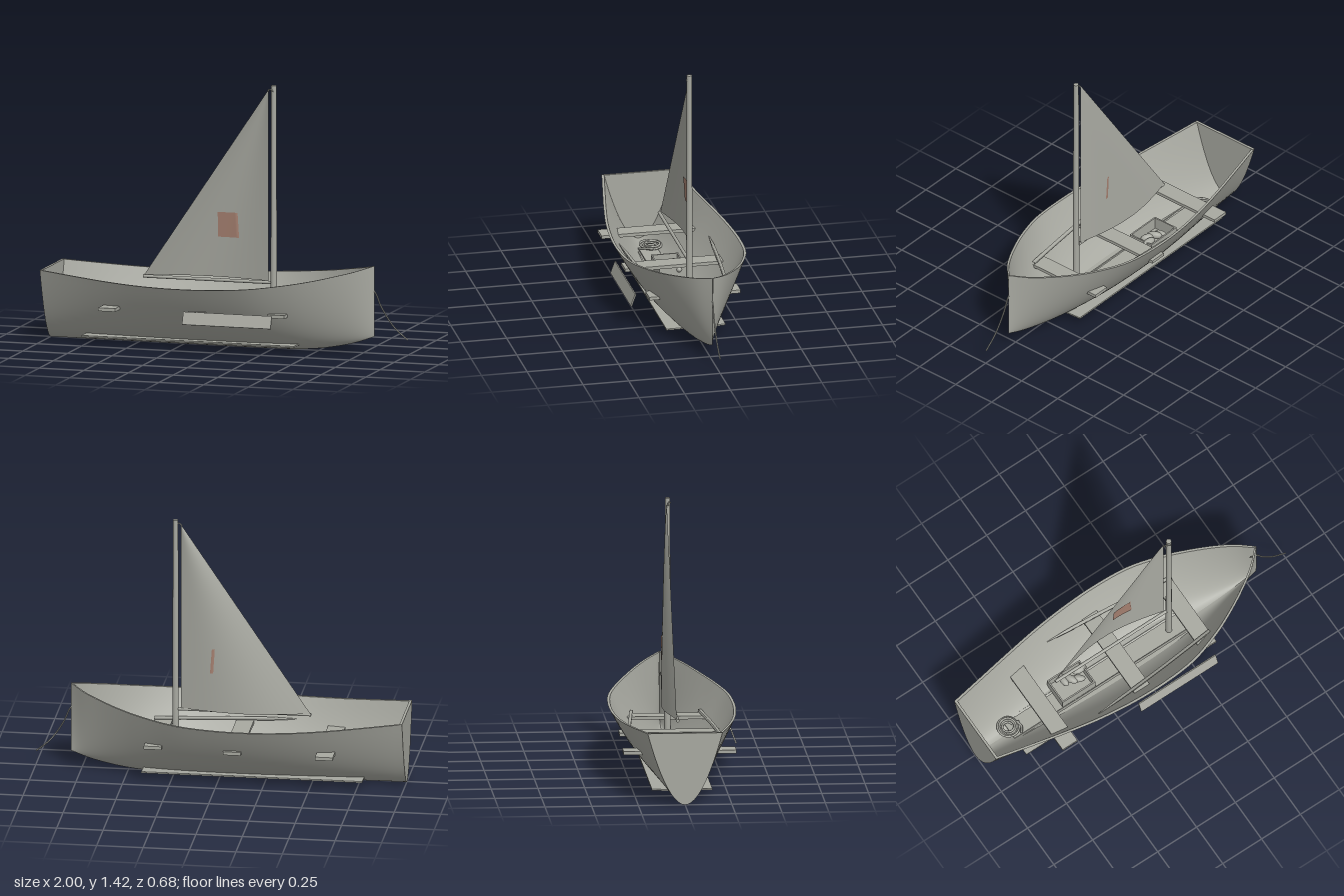
import * as THREE from 'three';

const wood = new THREE.MeshStandardMaterial({ color: 0xa8a9a1, side: THREE.DoubleSide });
wood.name = 'weathered grey';
const rust = new THREE.MeshStandardMaterial({ color: 0xa58070, side: THREE.DoubleSide });
rust.name = 'patch brown';

// surface from a rule fn(u, v) -> [x, y, z]
function surface(nu, nv, fn) {
  const pos = [], idx = [];
  for (let i = 0; i <= nu; i++)
    for (let j = 0; j <= nv; j++) pos.push(...fn(i / nu, j / nv));
  for (let i = 0; i < nu; i++)
    for (let j = 0; j < nv; j++) {
      const a = i * (nv + 1) + j, b = a + nv + 1;
      idx.push(a, b, a + 1, b, b + 1, a + 1);
    }
  const g = new THREE.BufferGeometry();
  g.setAttribute('position', new THREE.Float32BufferAttribute(pos, 3));
  g.setIndex(idx);
  g.computeVertexNormals();
  return g;
}

// hull stations: x, half width at the rim, rim height, keel height
const stations = [
  [-1, 0.2, 0.39, 0], [-0.8, 0.24, 0.373, 0], [-0.6, 0.279, 0.358, 0], [-0.4, 0.313, 0.349, 0],
  [-0.2, 0.334, 0.347, 0], [0, 0.339, 0.352, 0], [0.2, 0.322, 0.364, 0], [0.38, 0.268, 0.384, 0.002],
  [0.52, 0.206, 0.405, 0.014], [0.64, 0.14, 0.429, 0.036], [0.73, 0.078, 0.449, 0.06], [0.81, 0.002, 0.472, 0.09],
];
const line = (fn) => new THREE.CatmullRomCurve3(stations.map(fn), false, 'catmullrom');
const rim = line(([x, w, top]) => new THREE.Vector3(x, top, w));
const keel = line(([x, , , low]) => new THREE.Vector3(x, low, 0));

// point on the hull skin; t runs aft to bow, s keel to rim, inset is the shell thickness
function hullPoint(t, s, side, inset = 0) {
  const r = rim.getPoint(t), k = keel.getPoint(t);
  const low = k.y + inset;
  return [r.x, low + (r.y - low) * Math.pow(s, 1.9), side * Math.max(r.z - inset, 0) * s];
}

export function createModel() {
  const boat = new THREE.Group();
  boat.name = 'sailingBoat';
  const add = (name, geo, mat = wood, x = 0, y = 0, z = 0) => {
    const m = new THREE.Mesh(geo, mat);
    m.name = name;
    m.position.set(x, y, z);
    boat.add(m);
    return m;
  };
  const box = (name, w, h, d, x, y, z) => add(name, new THREE.BoxGeometry(w, h, d), wood, x, y, z);
  const tube = (name, pts, r, n = 24) => add(name, new THREE.TubeGeometry(
    new THREE.CatmullRomCurve3(pts.map((p) => new THREE.Vector3(...p))), n, r, 8));

  // hull halves: outer skin, inner skin and rim
  const thick = 0.014;
  for (const side of [1, -1]) {
    add('hullOutside', surface(48, 16, (t, s) => hullPoint(t, s, side)));
    add('hullInside', surface(48, 16, (t, s) => hullPoint(t, s, side, thick)));
    add('gunwale', surface(48, 1, (t, v) => hullPoint(t, 1, side, thick * v)));
  }

  // transom
  for (const dx of [0, thick])
    add('transom', surface(16, 2, (s, v) => {
      const p = hullPoint(0, s, 1);
      return [p[0] + dx, p[1], p[2] * (2 * v - 1)];
    }));
  box('transomTop', thick, 0.002, 0.4, -1 + thick / 2, 0.389, 0);

  // thwarts, running through the sides
  for (const [x, half] of [[-0.593, 0.302], [-0.095, 0.285], [0.337, 0.25]])
    box('thwart', 0.095, 0.018, half * 2, x, 0.212, 0);

  // floor boards
  box('floorBoard', 1.19, 0.008, 0.1, -0.185, 0.038, 0);
  for (const side of [1, -1]) {
    const b = box('floorBoard', 1.19, 0.008, 0.1, -0.185, 0.038, side * 0.112);
    if (side < 0) b.rotation.x = 0.06;
  }

  // slim side rails resting on the thwarts
  for (const side of [1, -1])
    add('sideRail', surface(12, 4, (u, v) => {
      const a = v * Math.PI * 2 + Math.PI / 4, r = 0.011 * Math.min(1, 0.25 + u * 4);
      const z = 0.246 - 0.063 * u + 0.006 * Math.sin(Math.PI * u);
      return [-0.37 + 0.755 * u, 0.238 - 0.008 * u + r * Math.sin(a), side * (z + r * Math.cos(a))];
    }));

  // loose plank alongside
  box('loosePlank', 0.495, 0.07, 0.008, 0.088, 0.192, 0.325).rotation.x = -0.35;

  // mast, boom and head tie
  add('mast', new THREE.CylinderGeometry(0.014, 0.018, 1.39, 16), wood, 0.247, 0.725, 0);
  add('boom', new THREE.CylinderGeometry(0.009, 0.009, 0.73, 12), wood, -0.118, 0.353, 0).rotation.z = Math.PI / 2;
  tube('headTie', [[0.212, 1.385, 0], [0.225, 1.398, 0.005], [0.25, 1.392, 0.015]], 0.004, 8);

  // bellied triangular sail
  const belly = (u, v) => -0.006 - 0.056 * Math.sin(Math.PI * u) * Math.pow(1 - v, 0.7);
  const leech = (v) => -0.48 + 0.692 * v;
  add('sail', surface(20, 32, (u, v) => {
    const x0 = leech(v);
    return [x0 + (0.216 - x0) * u, 0.36 + 1.03 * v, belly(u, v)];
  }));

  // sewn patch, its forward edge showing through the back
  add('sailPatch', surface(12, 6, (a, b) => {
    const x = -0.08 + 0.135 * a - 0.01 * a * b, y = 0.578 + 0.135 * b;
    const v = (y - 0.36) / 1.03, x0 = leech(v);
    return [x, y, belly((x - x0) / (0.216 - x0), v) + (a > 0.88 ? -0.004 : 0.004)];
  }), rust);

  // bow rope
  tube('bowRope', [[0.77, 0.36, 0], [0.81, 0.335, 0], [0.85, 0.25, 0], [0.92, 0.147, 0], [0.997, 0.08, 0]], 0.004, 32);

  // coil of rope in the stern
  const coil = [];
  for (let i = 0; i <= 48; i++) {
    const a = i / 48 * Math.PI * 8, r = 0.062 - 0.009 * i / 12;
    coil.push([-0.775 + r * Math.cos(a), 0.055 + 0.006 * Math.sin(a * 0.7), -0.02 + r * Math.sin(a)]);
  }
  tube('ropeCoil', coil, 0.006, 160);
  tube('coilTail', [[-0.72, 0.055, -0.02], [-0.715, 0.06, 0.02], [-0.735, 0.055, 0.05]], 0.006, 10);

  // open crate with a rumpled bundle
  box('crateBase', 0.21, 0.008, 0.15, -0.365, 0.05, -0.025);
  for (const s of [1, -1]) {
    box('crateSide', 0.21, 0.07, 0.008, -0.365, 0.085, -0.025 + s * 0.071);
    box('crateEnd', 0.008, 0.07, 0.15, -0.365 + s * 0.101, 0.085, -0.025);
  }
  for (let i = 0; i < 4; i++) {
    const m = add('bundle', new THREE.SphereGeometry(0.035, 12, 8), wood,
      -0.39 + 0.034 * i, 0.1 + 0.006 * (i % 2), -0.06 + 0.018 * (i % 3));
    m.scale.set(0.6, 0.6, 1.2);
    m.rotation.y = 0.5 * i;
  }
  return boat;
}
